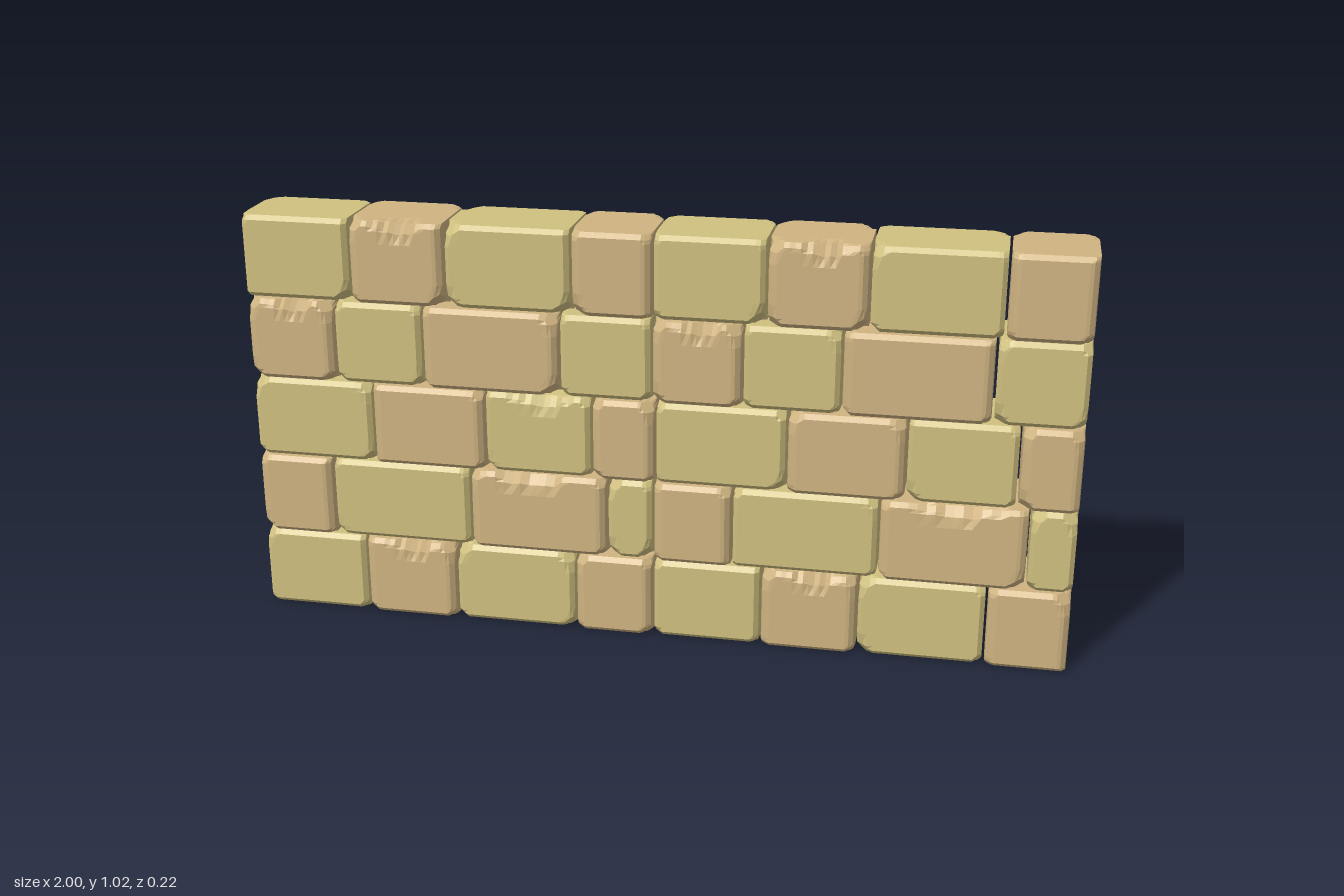
import * as THREE from 'three';

const SAND = 0xd0c080, TAN = 0xd0b482;
const PITCH = 0.2037, GAP = 0.006, BEVEL = 0.011;

// x positions of the joints in each course, bottom to top
const baseCourse = [-1, -0.735, -0.5, -0.195, 0, 0.265, 0.5, 0.805, 1];
const courses = [
  { joints: baseCourse, tanFirst: false, chipped: [1, 5] },
  { joints: [-1, -0.81, -0.457, -0.113, 0, 0.193, 0.543, 0.892, 1], tanFirst: true, chipped: [2, 6] },
  { joints: [-1, -0.697, -0.413, -0.15, 0.006, 0.32, 0.6, 0.858, 1], tanFirst: false, chipped: [2] },
  { joints: [-1, -0.783, -0.563, -0.225, -0.003, 0.213, 0.443, 0.79, 1], tanFirst: true, chipped: [0, 4] },
  { joints: baseCourse, tanFirst: false, chipped: [1, 5] },
];

function seeded(seed) {
  let s = seed;
  return () => (s = (s * 16807) % 2147483647) / 2147483647;
}

// Places grid lines close to the edges so that bevels stay crisp
function gridLine(i, n, half) {
  const k = Math.min(i, n - i);
  const side = i * 2 < n ? -1 : 1;
  if (k < 3) return side * (half - k * BEVEL);
  const inner = half - 2 * BEVEL;
  return -inner + (2 * inner * (i - 2)) / (n - 4);
}

// Pushes a point back onto a cutting plane if it lies beyond it
function cut(p, normal, half, depth) {
  const n = normal.clone().normalize();
  const limit = Math.abs(n.x) * half.x + Math.abs(n.y) * half.y + Math.abs(n.z) * half.z - depth;
  const over = p.dot(n) - limit;
  if (over > 0) p.addScaledVector(n, -over);
}

function stoneGeometry(half, cuts, chip) {
  const seg = [18, 9, 9];
  const geo = new THREE.BoxGeometry(2, 2, 2, ...seg);
  const pos = geo.attributes.position;
  const p = new THREE.Vector3();
  const chipNormal = new THREE.Vector3(0, 1, 1);
  for (let v = 0; v < pos.count; v++) {
    const line = (value, axis) =>
      gridLine(Math.round(((value + 1) / 2) * seg[axis]), seg[axis], half.getComponent(axis));
    p.set(line(pos.getX(v), 0), line(pos.getY(v), 1), line(pos.getZ(v), 2));
    const x0 = p.x;
    cuts.forEach(c => cut(p, c.normal, half, c.depth));
    // ragged break along the upper front edge
    if (chip) {
      const t = (x0 - chip.x) / chip.width;
      const ragged = 0.8 + 0.2 * Math.sin(x0 * 190) + 0.12 * Math.sin(x0 * 67);
      const depth = chip.depth * (1 - t * t) * ragged;
      if (depth > 0) cut(p, chipNormal, half, depth);
    }
    pos.setXYZ(v, p.x, p.y, p.z);
  }
  geo.computeVertexNormals();
  return geo;
}

export function createModel() {
  const wall = new THREE.Group();
  wall.name = 'stoneWall';
  const rand = seeded(417);
  const sand = new THREE.MeshStandardMaterial({ color: SAND, flatShading: true });
  const tan = new THREE.MeshStandardMaterial({ color: TAN, flatShading: true });
  const flat = BEVEL / Math.SQRT2;

  courses.forEach(({ joints, tanFirst, chipped }, row) => {
    const course = new THREE.Group();
    course.name = `course${row + 1}`;
    for (let i = 0; i < joints.length - 1; i++) {
      const isTan = (i % 2 === 0) === tanFirst;
      const left = joints[i] + (i > 0 ? GAP / 2 : 0);
      const right = joints[i + 1] - (i < joints.length - 2 ? GAP / 2 : 0);
      const half = new THREE.Vector3((right - left) / 2, (PITCH - GAP / 2) / 2, isTan ? 0.111 : 0.104);

      // bevelled front and back edges, with wider upright bevels on tan stones
      const cuts = [];
      for (const sz of [-1, 1]) {
        for (const s of [-1, 1]) {
          cuts.push({ normal: new THREE.Vector3(0, s, sz), depth: flat });
          cuts.push({ normal: new THREE.Vector3(s, 0, sz), depth: isTan ? flat * 1.4 : flat });
          // worn corners
          for (const sx of [-1, 1]) {
            cuts.push({ normal: new THREE.Vector3(sx, s, sz), depth: 0.012 + 0.016 * rand() });
          }
        }
      }
      // lower corner knocked off through the whole depth
      if (i === 2 || i === 6) cuts.push({ normal: new THREE.Vector3(-1, -1, 0), depth: 0.014 });

      const chip = chipped.includes(i)
        ? { x: (rand() - 0.5) * half.x * 0.3, width: half.x * 0.75, depth: 0.028 }
        : null;
      const stone = new THREE.Mesh(stoneGeometry(half, cuts, chip), isTan ? tan : sand);
      stone.name = isTan ? 'tanStone' : 'sandStone';
      stone.position.set((left + right) / 2, row * PITCH + half.y, 0);
      course.add(stone);
    }
    wall.add(course);
  });
  return wall;
}
